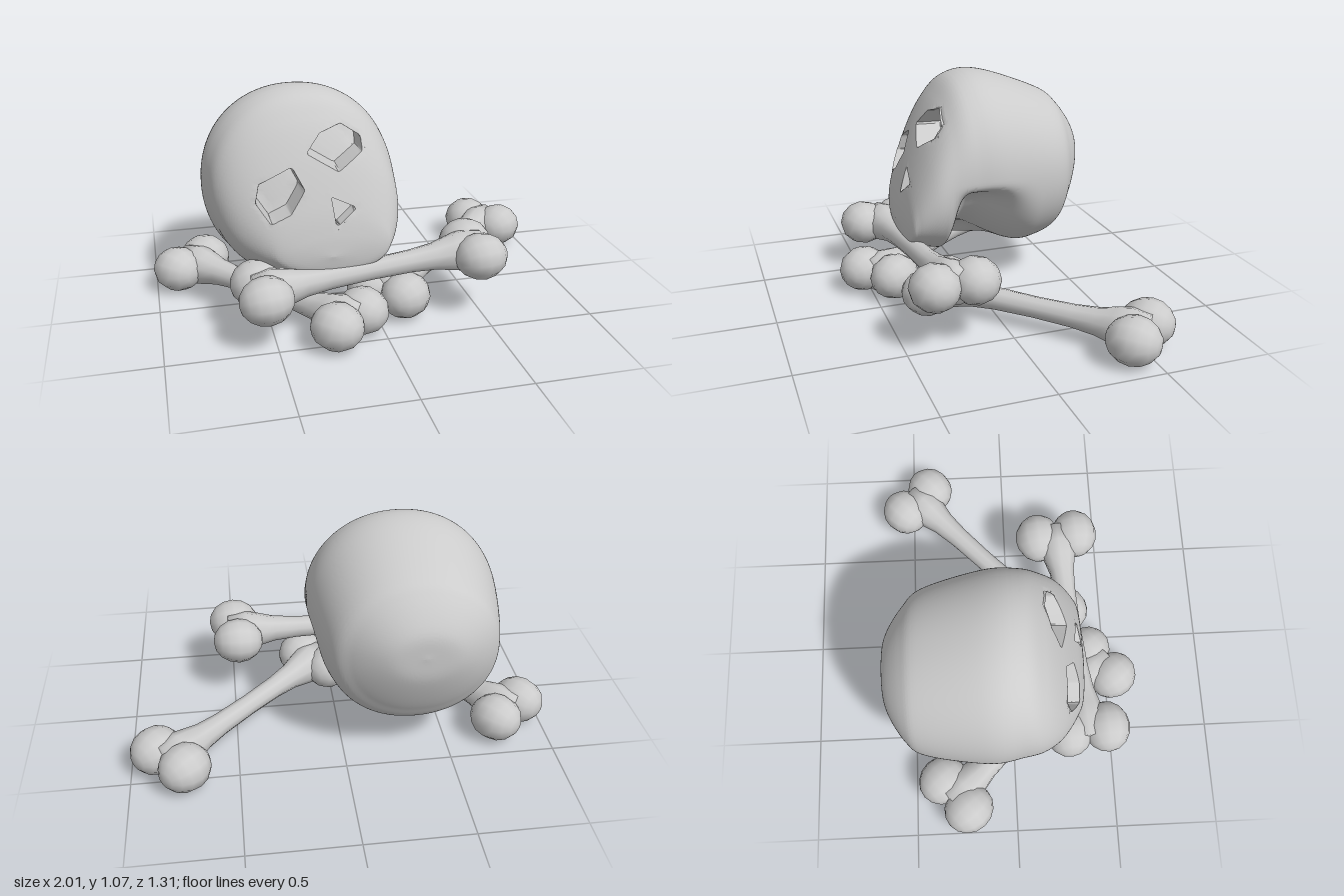
import * as THREE from 'three';
import { toCreasedNormals } from 'three/addons/utils/BufferGeometryUtils.js';

const grey = new THREE.MeshStandardMaterial({ color: 0xcccccc });

// Bone: flared shaft with two rounded lobes at each end
function bone(name, from, to) {
  const g = new THREE.Group();
  g.name = name;
  const a = new THREE.Vector3(...from), b = new THREE.Vector3(...to);
  const axis = b.clone().sub(a), L = axis.length();
  axis.normalize();
  const side = new THREE.Vector3(0, 1, 0).cross(axis).normalize();
  const up = side.clone().cross(axis);
  g.quaternion.setFromRotationMatrix(new THREE.Matrix4().makeBasis(side, axis, up));
  g.position.copy(a);

  const half = [[0, -0.05], [0.085, -0.04], [0.1, 0.05], [0.085, 0.12], [0.065, 0.2], [0.054, 0.32]];
  const profile = [...half, [0.05, L / 2], ...half.slice().reverse().map(([r, y]) => [r, L - y])];
  const shaft = new THREE.Mesh(
    new THREE.LatheGeometry(profile.map(([r, y]) => new THREE.Vector2(r, y)), 10), grey);
  shaft.name = 'shaft';
  g.add(shaft);
  for (const y of [0, L]) for (const s of [-1, 1]) {
    const lobe = new THREE.Mesh(new THREE.SphereGeometry(1, 12, 8), grey);
    lobe.name = 'lobe';
    lobe.scale.set(0.118, 0.125, 0.11);
    lobe.position.set(s * 0.095, y, 0);
    g.add(lobe);
  }
  return g;
}

// Convex hole outline as edge normals and distances from its centre
function hole(depth, pts) {
  const n = pts.length;
  const cx = pts.reduce((s, p) => s + p[0], 0) / n, cy = pts.reduce((s, p) => s + p[1], 0) / n;
  const edges = pts.map((p, i) => {
    const q = pts[(i + 1) % n], l = Math.hypot(q[0] - p[0], q[1] - p[1]);
    const nx = (p[1] - q[1]) / l, ny = (q[0] - p[0]) / l;
    return [nx, ny, nx * (p[0] - cx) + ny * (p[1] - cy)];
  });
  return { depth, cx, cy, edges };
}

// Eye and nose outlines, clockwise
const holes = [
  hole(0.12, [[-0.55, 0.63], [-0.53, 0.71], [-0.38, 0.78], [-0.33, 0.68], [-0.4, 0.58], [-0.49, 0.54]]),
  hole(0.12, [[-0.31, 0.83], [-0.24, 0.91], [-0.14, 0.94], [-0.05, 0.88], [-0.05, 0.82], [-0.17, 0.745]]),
  hole(0.06, [[-0.215, 0.645], [-0.1, 0.59], [-0.2, 0.515]]),
];

// Sink the openings, snapping nearby vertices to a crisp rim and floor edge
function carve(p) {
  const band = 0.013, slope = -0.42;
  for (const h of holes) {
    const x = p.x - h.cx, y = p.y - h.cy;
    let sd = -Infinity, gauge = 0;
    for (const [nx, ny, d] of h.edges) {
      const k = nx * x + ny * y;
      sd = Math.max(sd, k - d);
      gauge = Math.max(gauge, k / d);
    }
    if (sd > band) continue;
    const inside = sd < -band;
    if (sd > -2.5 * band) {
      const f = (inside ? 0.92 : 1) / gauge;
      p.x = h.cx + x * f;
      p.y = h.cy + y * f;
      p.z += slope * y * (f - 1);
    }
    if (inside) p.z -= h.depth;
    return;
  }
}

function skullGeometry() {
  // Cross-sections from back to front: z, left x, right x, bottom y, top y
  const sections = [
    [-0.6, -0.33, -0.33, 0.66, 0.66], [-0.585, -0.5, -0.17, 0.52, 0.78],
    [-0.5, -0.65, -0.02, 0.32, 0.905], [-0.4, -0.71, 0.07, 0.21, 0.975],
    [-0.12, -0.76, 0.13, 0.16, 1.075], [0.04, -0.74, 0.13, 0.18, 1.065],
    [0.14, -0.71, 0.125, 0.2, 0.97], [0.23, -0.64, 0.115, 0.23, 0.81],
    [0.31, -0.52, 0.07, 0.27, 0.61], [0.345, -0.42, 0.01, 0.3, 0.48],
    [0.36, -0.22, -0.22, 0.38, 0.38],
  ];
  const curve = (i, j) => new THREE.CatmullRomCurve3(
    sections.map(s => new THREE.Vector3(s[i], s[j], s[0])), false, 'catmullrom', 0.5);
  const xs = curve(1, 2), ys = curve(3, 4);
  const rows = 190, cols = 240, pos = [], index = [];
  const bulge = v => Math.sign(v) * Math.pow(Math.abs(v), 2 / 2.1);
  const smooth = THREE.MathUtils.smoothstep;
  const p = new THREE.Vector3();
  for (let i = 0; i <= rows; i++) {
    const X = xs.getPoint(i / rows), Y = ys.getPoint(i / rows);
    for (let j = 0; j < cols; j++) {
      const t = j / cols * Math.PI * 2;
      p.set((X.x + X.y) / 2 + (X.y - X.x) / 2 * bulge(Math.cos(t)),
        (Y.x + Y.y) / 2 + (Y.y - Y.x) / 2 * bulge(Math.sin(t)), X.z);
      // Hollow behind the jaw, on the lower side of the tilted head
      const low = (p.x + 0.31) * 0.6 - (p.y - 0.62) * 0.78;
      const dent = 0.15 * smooth(low, 0.26, 0.42) * smooth(p.z, -0.3, 0.03) * (1 - smooth(p.z, 0.06, 0.18));
      p.x -= dent * 0.6;
      p.y += dent * 0.78;
      if (X.z > 0.02) carve(p);
      pos.push(p.x, p.y, p.z);
      if (i < rows) {
        const k = (j + 1) % cols, a = i * cols + j, b = i * cols + k;
        index.push(a, b, a + cols, b, b + cols, a + cols);
      }
    }
  }
  const geo = new THREE.BufferGeometry();
  geo.setAttribute('position', new THREE.Float32BufferAttribute(pos, 3));
  geo.setIndex(index);
  return toCreasedNormals(geo, 0.7);
}

export function createModel() {
  const model = new THREE.Group();
  model.name = 'skullAndBones';
  const skull = new THREE.Mesh(skullGeometry(), grey);
  skull.name = 'skull';
  model.add(skull,
    bone('topBone', [-0.55, 0.25, 0.365], [0.475, 0.31, 0.27]),
    bone('leftBone', [0.81, 0.12, -0.47], [0.07, 0.12, 0.235]),
    bone('rightBone', [-0.82, 0.12, -0.3], [-0.17, 0.12, 0.465]));
  return model;
}
